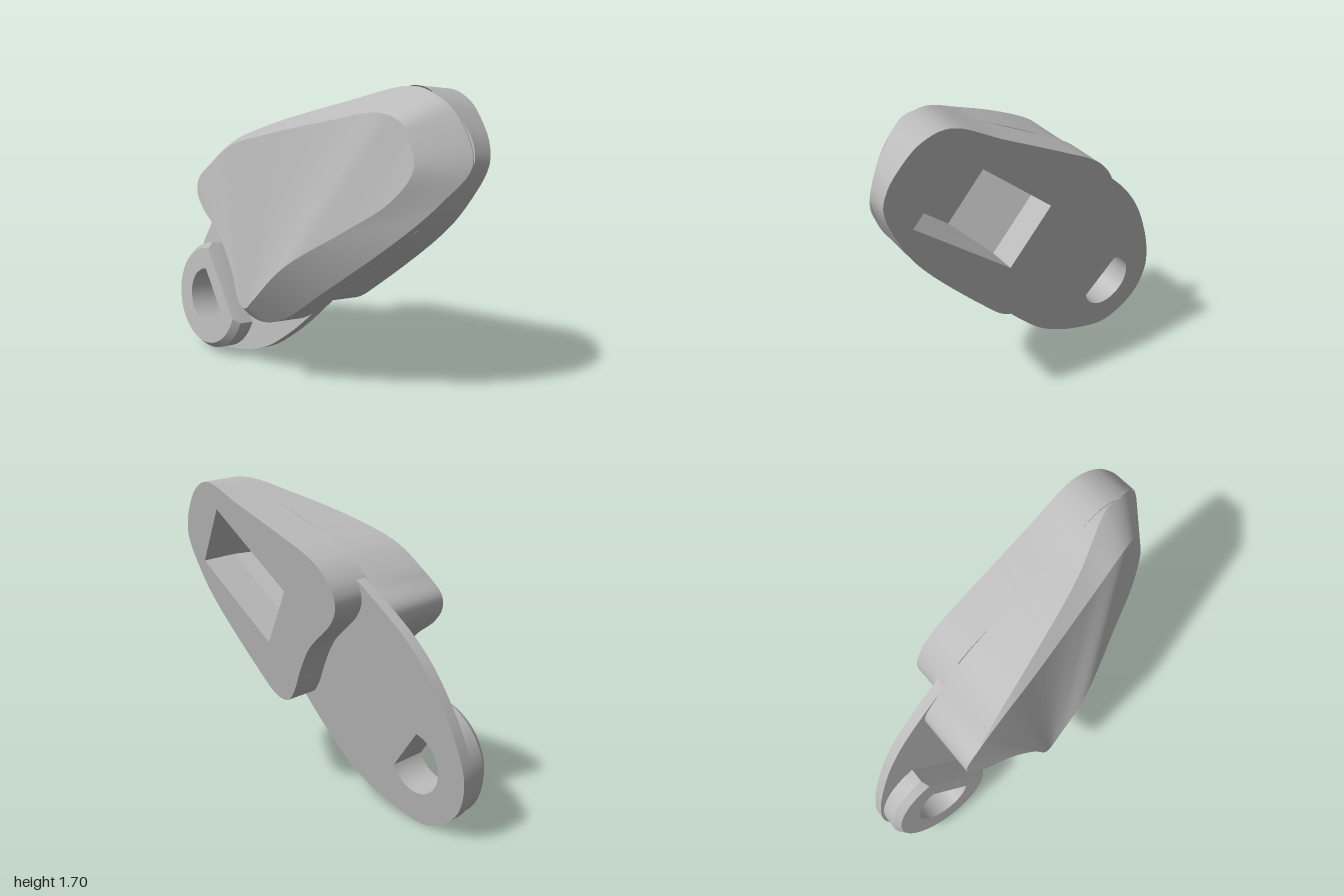
import * as THREE from 'three';
import { mergeGeometries, toCreasedNormals } from 'three/addons/utils/BufferGeometryUtils.js';

// Parts are laid out on a tilted face: points are [z, y, depth], depth runs along the face normal.
const TILT = new THREE.Matrix4().set(
  0.16, 0.154, 0.976, 0.125,
  0, 1, -0.15, 0,
  -1, 0, 0.156, 0,
  0, 0, 0, 1);
const N = 114;
const BACK = -0.222; // depth of the tongue's back

const v3 = ([z, y, d = 0]) => new THREE.Vector3(-z, y, d);
const spline = (pts, closed, n = N) => {
  const curve = new THREE.CatmullRomCurve3(pts.map(v3), closed, 'centripetal');
  return Array.from({ length: closed ? n : n + 1 }, (_, i) => curve.getPoint(i / n));
};
const flat = (pts) => pts.map((p) => new THREE.Vector2(p.x, p.y));
const atDepth = (pts, f) => pts.map((p) => new THREE.Vector3(p.x, p.y, typeof f === 'function' ? f(p.x) : f));

function shapeOf(pts, ...holes) {
  const shape = new THREE.Shape(flat(pts));
  holes.forEach((h) => shape.holes.push(new THREE.Path(flat(h))));
  return shape;
}

function fromQuads(quads) {
  const pos = [];
  quads.forEach(([a, b, c, d]) => [a, b, c, a, c, d].forEach((p) => pos.push(p.x, p.y, p.z)));
  const g = new THREE.BufferGeometry();
  g.setAttribute('position', new THREE.Float32BufferAttribute(pos, 3));
  return g;
}

// Skin joining closed loops with equal point counts
function loft(loops) {
  const quads = [];
  for (let k = 0; k + 1 < loops.length; k++) {
    const a = loops[k], b = loops[k + 1];
    a.forEach((p, i) => {
      const j = (i + 1) % a.length;
      quads.push([p, a[j], b[j], b[i]]);
    });
  }
  return fromQuads(quads);
}

// Flat face around a four-cornered opening, made of an upper and a lower half
function faceAround(loop, [p0, p1, p2, p3]) {
  const above = (p) => p.y > p3.y + ((p.x - p3.x) * (p1.y - p3.y)) / (p1.x - p3.x);
  const k = loop.findIndex((p, i) => above(p) && !above(loop[(i + loop.length - 1) % loop.length]));
  const turned = [...loop.slice(k), ...loop.slice(0, k)];
  const top = turned.filter(above), low = turned.filter((p) => !above(p));
  return mergeGeometries([
    new THREE.ShapeGeometry(shapeOf([...top, p1, p0, p3])),
    new THREE.ShapeGeometry(shapeOf([top[top.length - 1], ...low, top[0], p3, p2, p1])),
  ]);
}

// Circle with one side cut flat, the cut facing up and forward
function cutCircle(r, cut, cz = -0.635, cy = 0.295, n = 48) {
  const mid = Math.atan2(0.66, -0.75), half = Math.acos(cut / r);
  return Array.from({ length: n + 1 }, (_, i) => {
    const a = mid + half + (i / n) * (2 * Math.PI - 2 * half);
    return new THREE.Vector3(-cz + r * Math.cos(a), cy + r * Math.sin(a), 0);
  });
}

export function createModel() {
  const model = new THREE.Group();
  const grey = new THREE.MeshStandardMaterial({ color: 0xb8b8b8, side: THREE.DoubleSide });
  grey.name = 'light grey';
  const add = (name, g, crease = 0.6) => {
    const mesh = new THREE.Mesh(toCreasedNormals(g.applyMatrix4(TILT), crease), grey);
    mesh.name = name;
    model.add(mesh);
  };

  // Rectangular pocket opening and the layer boundary, which thins toward the nose
  const pocket = [[0.63, 1.52], [0.06, 1.11], [0.27, 0.81], [0.85, 1.22]].map(v3);
  const seam = (u) => BACK + 0.55 * Math.max(0, -u - 0.8);

  // Front block
  const face = spline([
    [1.0, 1.35], [0.985, 1.45], [0.93, 1.54], [0.84, 1.63], [0.7, 1.67], [0.4, 1.55], [0, 1.385],
    [-0.15, 1.32], [-0.26, 1.25], [-0.34, 1.15], [-0.355, 1.07], [-0.31, 0.99], [-0.1, 0.83],
    [0, 0.7], [0.08, 0.57], [0.14, 0.51], [0.2, 0.5], [0.28, 0.525], [0.4, 0.62], [0.8, 1.0], [0.92, 1.17],
  ], true);
  add('frontFace', faceAround(face, pocket));
  add('frontBlockSides', loft([face, atDepth(face, seam)]));

  // Rear block: wall edge [z, y, depth] and back rim [z, y, depth]
  const rows = [
    [1.0, 1.35, -0.12, 0.84, 1.3, -0.33], [0.93, 1.54, -0.16, 0.80, 1.43, -0.34],
    [0.84, 1.625, -0.2, 0.76, 1.5, -0.36], [0.7, 1.665, -0.24, 0.66, 1.53, -0.40],
    [0.4, 1.55, -0.38, 0.4, 1.46, -0.46], [0, 1.385, -0.5, 0, 1.33, -0.54],
    [-0.22, 1.27, -0.55, -0.21, 1.25, -0.57], [-0.39, 1.12, -0.57, -0.39, 1.115, -0.576],
    [-0.485, 1.02, -0.57, -0.483, 1.02, -0.576], [-0.485, 0.95, -0.57, -0.483, 0.95, -0.576],
    [-0.43, 0.88, -0.57, -0.428, 0.882, -0.576], [-0.26, 0.77, -0.57, -0.258, 0.772, -0.576],
    [-0.12, 0.6, -0.56, -0.118, 0.605, -0.57], [-0.04, 0.43, -0.54, -0.04, 0.45, -0.56],
    [0.02, 0.36, -0.46, 0, 0.43, -0.55], [0.1, 0.375, -0.4, 0.05, 0.48, -0.55],
    [0.4, 0.62, -0.37, 0.27, 0.72, -0.545], [0.8, 1.0, -0.28, 0.57, 0.97, -0.44],
    [0.92, 1.17, -0.2, 0.76, 1.14, -0.37],
  ];
  const edge = spline(rows.map((r) => r.slice(0, 3)), true);
  const rim = spline(rows.map((r) => r.slice(3)), true);
  add('rearBlockSides', loft([atDepth(edge, seam), edge, rim]));
  const back = [];
  for (let i = 0; i < N / 2; i++) back.push([rim[i], rim[i + 1], rim[N - i - 1], rim[(N - i) % N]]);
  add('rearBlockBack', fromQuads(back));
  const lobe = edge.filter((p) => p.x > -0.05);
  add('rearBlockFront', new THREE.ShapeGeometry(shapeOf(lobe)).translate(0, 0, BACK));

  // Pocket walls, floor and end ramp
  const centre = pocket.reduce((s, p) => s.add(p), new THREE.Vector3()).multiplyScalar(0.25);
  const floor = atDepth(pocket.map((p) => p.clone().lerp(centre, 0.08)), -0.305);
  add('pocketWalls', loft([pocket, atDepth(pocket, -0.2), floor]), 0.1);
  add('pocketFloor', fromQuads([floor]), 0.1);
  const ramp = [
    floor[0].clone().lerp(floor[1], 0.68), ...atDepth([pocket[1], pocket[2]], -0.15),
    floor[3].clone().lerp(floor[2], 0.68),
  ];
  add('pocketRamp', fromQuads([ramp]), 0.1);

  // Tongue plate with its flat-sided hole
  const hole = cutCircle(0.16, 0.08);
  const rounded = spline([
    [-0.22, 1.24], [-0.3, 1.19], [-0.52, 1.025], [-0.65, 0.915], [-0.77, 0.775], [-0.87, 0.6],
    [-0.93, 0.455], [-0.962, 0.305], [-0.945, 0.195], [-0.9, 0.105], [-0.82, 0.035],
    [-0.73, -0.01], [-0.64, -0.025], [-0.48, 0.003], [-0.34, 0.045], [-0.17, 0.125], [-0.02, 0.24],
    [0.1, 0.35], [0.26, 0.52],
  ], false, 80);
  const plate = shapeOf([...rounded, ...[[0.2, 0.75], [0, 1.05]].map(v3)], hole);
  const depth = -0.165 - BACK;
  add('tongue', new THREE.ExtrudeGeometry(plate, { depth, bevelEnabled: false }).translate(0, 0, BACK));

  // Chamfered boss around the hole on the back of the tongue
  const outer = cutCircle(0.31, 0.17), inner = cutCircle(0.28, 0.165);
  add('bossSides', loft([atDepth(outer, BACK), atDepth(outer, -0.31), atDepth(inner, -0.35)]));
  add('bossFace', new THREE.ShapeGeometry(shapeOf(inner, hole)).translate(0, 0, -0.35));
  add('bossHole', loft([atDepth(hole, BACK), atDepth(hole, -0.35)]));

  return model;
}
